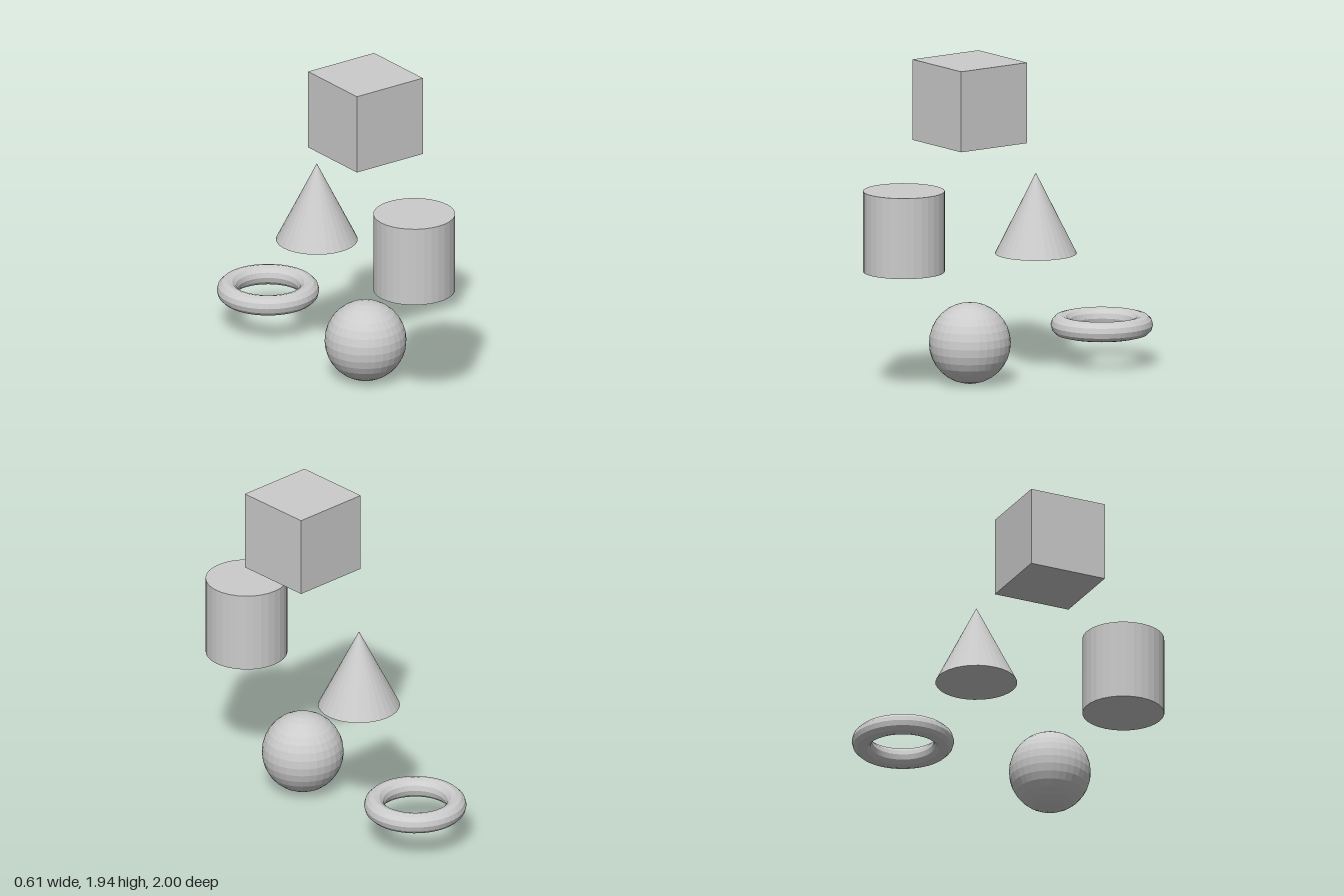
import * as THREE from 'three';

export function createModel() {
  const model = new THREE.Group();
  const material = new THREE.MeshStandardMaterial({ color: 0xcccccc, flatShading: true });

  const unit = 2 / 4.125; // edge of the cube, and step between solids along z
  const half = unit / 2;
  const middleZ = 1 - 1.5 * unit; // cube and sphere share this z

  // level counts rows upward from the ground, step counts places toward the front
  function place(name, geometry, level, step) {
    const mesh = new THREE.Mesh(geometry, material);
    mesh.name = name;
    mesh.position.set(0, half + level * 1.5 * unit, middleZ + step * unit);
    model.add(mesh);
  }

  // Top row
  place('cube', new THREE.BoxGeometry(unit, unit, unit), 2, 0);

  // Middle row
  place('cylinder', new THREE.CylinderGeometry(half, half, unit, 32), 1, 1);
  place('cone', new THREE.ConeGeometry(half, unit, 32), 1, -1);

  // Bottom row: the ring lies flat behind the sphere
  place('sphere', new THREE.SphereGeometry(half, 32, 16), 0, 0);
  place('ring', new THREE.TorusGeometry(half, unit / 8, 12, 48).rotateX(Math.PI / 2), 0, -2);

  return model;
}
